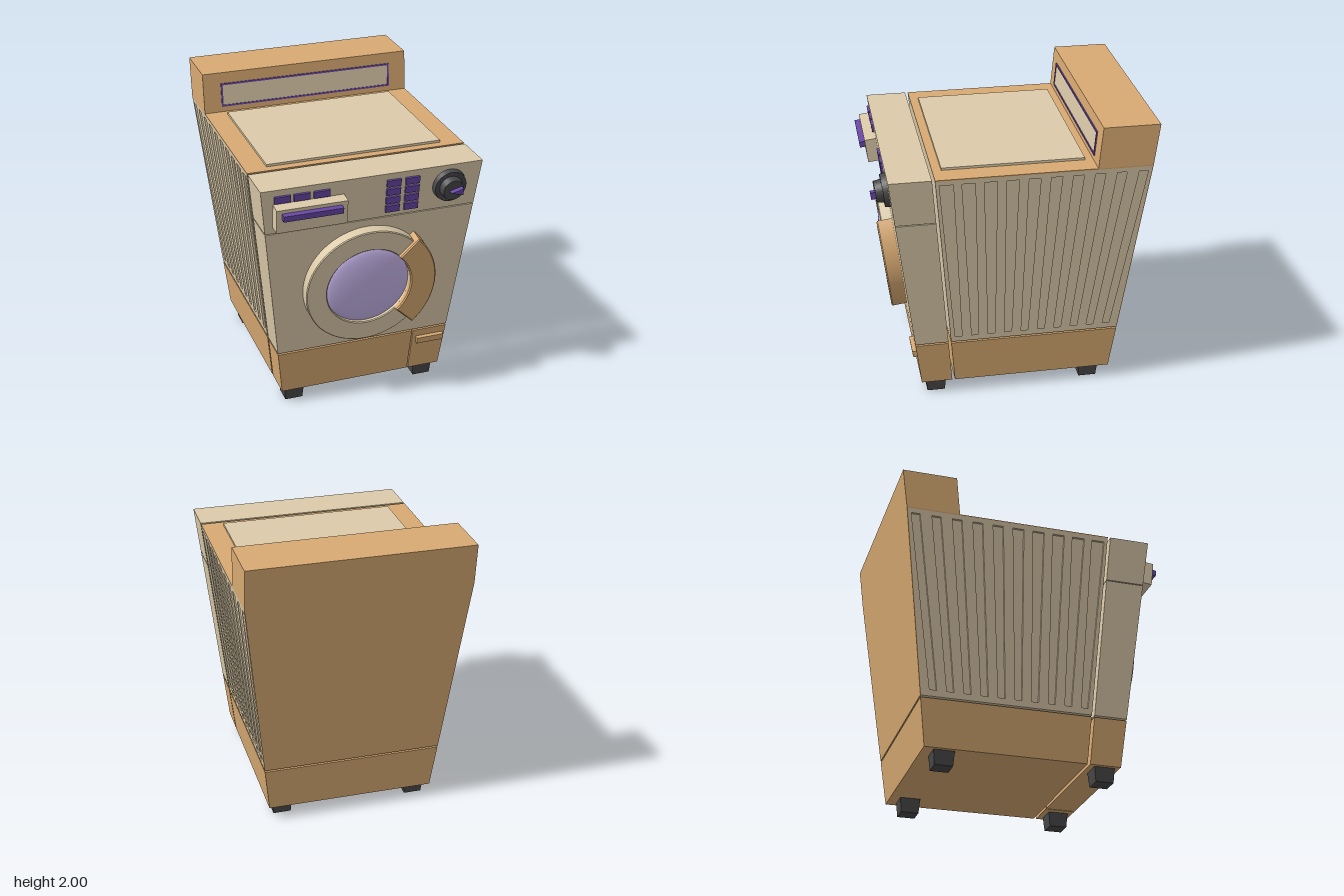
import * as THREE from 'three';

const mat = (color) => new THREE.MeshStandardMaterial({ color });
const WOOD = mat(0xd8aa72), CREAM = mat(0xdccbaa), PURPLE = mat(0x6a48a8), DARK = mat(0x484848), GLASS = mat(0xc6b4ea);

// Sloping outlines of the cabinet, as functions of height
const halfW = (y) => Math.min(0.75, 0.564 + 0.108 * y);
const frontZ = (y) => 0.613 + 0.121 * y;
const frontBackZ = (y) => 0.405 + 0.08 * y;
const bodyZ = (y) => 0.386 + 0.08 * y;
const backZ = (y) => -0.683 - 0.123 * y;
const consoleZ = (y) => -0.53 - 0.09 * (y - 1.72);
const TILT = Math.atan(0.121);

export function createModel() {
  const root = new THREE.Group();

  const add = (name, geo, material, parent = root) => {
    const m = new THREE.Mesh(geo, material);
    m.name = name;
    parent.add(m);
    return m;
  };

  // Block whose sides follow the outlines
  const block = (name, material, y0, y1, zb, zf, xl = (y) => -halfW(y), xr = halfW) => {
    const g = new THREE.BoxGeometry(1, 1, 1), p = g.attributes.position;
    for (let i = 0; i < p.count; i++) {
      const y = p.getY(i) > 0 ? y1 : y0;
      p.setXYZ(i, p.getX(i) > 0 ? xr(y) : xl(y), y, p.getZ(i) > 0 ? zf(y) : zb(y));
    }
    g.computeVertexNormals();
    return add(name, g, material);
  };

  // Places a part on the leaning front, h out from its surface
  const onFront = (obj, x, y, h = 0) => {
    obj.rotation.x = TILT;
    obj.position.set(x, y - Math.sin(TILT) * h, frontZ(y) + Math.cos(TILT) * h);
    return obj;
  };
  const frontBox = (name, material, x0, x1, y0, y1, h0, h1) =>
    onFront(add(name, new THREE.BoxGeometry(x1 - x0, y1 - y0, h1 - h0), material), (x0 + x1) / 2, (y0 + y1) / 2, (h0 + h1) / 2);

  // Base with a split front
  const seam = (y) => 0.342 + 0.05 * (y - 0.1);
  block('baseBody', WOOD, 0.1, 0.42, backZ, bodyZ);
  block('baseFront', WOOD, 0.1, 0.42, frontBackZ, frontZ, undefined, seam);
  block('filterDoor', WOOD, 0.1, 0.42, frontBackZ, frontZ, (y) => seam(y) + 0.008);
  frontBox('filterHandle', WOOD, 0.39, 0.585, 0.322, 0.367, -0.005, 0.028);

  // Front panels
  block('doorPanel', CREAM, 0.432, 1.397, frontBackZ, frontZ);
  block('controlPanel', CREAM, 1.403, 1.72, frontBackZ, frontZ);

  // Body: core, deck, back and slotted sides
  const T = 0.015;
  block('bodyCore', CREAM, 0.432, 1.712, (y) => backZ(y) + 0.006, bodyZ, (y) => T - halfW(y), (y) => halfW(y) - T);
  block('deck', WOOD, 1.712, 1.72, backZ, bodyZ);
  block('backPanel', WOOD, 0.432, 1.712, backZ, (y) => backZ(y) + 0.006);
  for (const s of [-1, 1]) {
    const path = (P, pts) => new P(pts.map(([z, y]) => new THREE.Vector2(-s * z, y)));
    const shape = path(THREE.Shape, [
      [bodyZ(0.432), 0.432], [bodyZ(1.712), 1.712], [backZ(1.712) + 0.006, 1.712], [backZ(0.432) + 0.006, 0.432]]);
    for (let i = 0; i < 10; i++) {
      const k = i / 9, top = 0.452 - 1.285 * k, bot = 0.37 - 1.025 * k;
      const wt = 0.045 - 0.015 * k, wb = 0.024;
      shape.holes.push(path(THREE.Path, [[bot + wb, 0.475], [top + wt, 1.68], [top - wt, 1.68], [bot - wb, 0.475]]));
    }
    const g = new THREE.ExtrudeGeometry(shape, { depth: T, bevelEnabled: false }), p = g.attributes.position;
    for (let i = 0; i < p.count; i++) {
      const u = p.getX(i), y = p.getY(i), w = p.getZ(i);
      p.setXYZ(i, s * (halfW(y) - T + w), y, -s * u);
    }
    g.computeVertexNormals();
    add(s > 0 ? 'leftSlottedPanel' : 'rightSlottedPanel', g, CREAM);
  }

  // Top lid
  add('topLid', new THREE.BoxGeometry(1.205, 0.016, 0.94), CREAM).position.set(0, 1.728, -0.005);

  // Rear console with framed window
  block('rearConsole', WOOD, 1.72, 2, backZ, consoleZ);
  const display = new THREE.Group();
  display.name = 'consoleDisplay';
  display.position.set(0, 1.84, consoleZ(1.84));
  display.rotation.x = -Math.atan(0.09);
  root.add(display);
  add('displayPane', new THREE.BoxGeometry(1.23, 0.15, 0.01), CREAM, display).position.z = -0.002;
  for (const s of [-1, 1]) {
    add('displayFrameBar', new THREE.BoxGeometry(1.25, 0.012, 0.016), PURPLE, display).position.y = s * 0.077;
    add('displayFrameSide', new THREE.BoxGeometry(0.012, 0.166, 0.016), PURPLE, display).position.x = s * 0.619;
  }

  // Round door
  const door = new THREE.Group();
  door.name = 'door';
  root.add(onFront(door, -0.02, 0.92));
  const lathe = (pts) => new THREE.LatheGeometry(pts.map(([r, h]) => new THREE.Vector2(r, h)), 64).rotateX(Math.PI / 2);
  const ring = new THREE.Shape().absarc(0, 0, 0.424, 0, Math.PI * 2);
  ring.holes.push(new THREE.Path().absarc(0, 0, 0.294, 0, Math.PI * 2, true));
  add('doorRing', new THREE.ExtrudeGeometry(ring, {
    depth: 0.07, bevelSize: 0.006, bevelThickness: 0.006, bevelSegments: 1, curveSegments: 40 }), CREAM, door);
  const dome = [];
  for (let i = 0; i <= 10; i++) {
    const a = (1 - i / 10) * Math.PI / 2;
    dome.push([0.29 * Math.sin(a), 0.045 + 0.05 * Math.cos(a)]);
  }
  add('doorGlass', lathe(dome), GLASS, door);
  const grip = new THREE.Shape();
  grip.absarc(0, 0, 0.458, -Math.PI / 4, Math.PI / 4);
  grip.absarc(0, 0, 0.296, Math.PI / 4, -Math.PI / 4, true);
  grip.closePath();
  add('doorHandle', new THREE.ExtrudeGeometry(grip, {
    depth: 0.098, bevelSize: 0.008, bevelThickness: 0.008, bevelSegments: 1, curveSegments: 24 }), WOOD, door);

  // Detergent drawer
  frontBox('detergentDrawer', CREAM, -0.667, -0.197, 1.453, 1.62, -0.01, 0.08);
  frontBox('drawerHandle', PURPLE, -0.632, -0.237, 1.555, 1.595, 0.07, 0.118);

  // Buttons
  for (const x of [-0.608, -0.48, -0.348]) frontBox('programButton', PURPLE, x - 0.053, x + 0.053, 1.627, 1.675, -0.01, 0.015);
  for (const x of [0.137, 0.265])
    for (let r = 0; r < 4; r++) {
      const y = 1.462 + r * 0.063;
      frontBox('optionButton', PURPLE, x - 0.048, x + 0.048, y - 0.024, y + 0.024, -0.01, 0.015);
    }

  // Dial with ticks and pointer
  const dial = new THREE.Group();
  dial.name = 'dial';
  root.add(onFront(dial, 0.525, 1.575));
  const base = add('dialBase', new THREE.CylinderGeometry(0.108, 0.115, 0.04, 40), DARK, dial);
  base.rotation.x = Math.PI / 2;
  base.position.z = 0.015;
  const knob = add('dialKnob', new THREE.CylinderGeometry(0.07, 0.08, 0.055, 32), DARK, dial);
  knob.rotation.x = Math.PI / 2;
  knob.position.z = 0.055;
  for (let i = 0; i < 12; i++) {
    const a = i * Math.PI / 6;
    const tick = add('dialTick', new THREE.BoxGeometry(0.018, 0.005, 0.004), PURPLE, dial);
    tick.position.set(0.096 * Math.cos(a), 0.096 * Math.sin(a), 0.035);
    tick.rotation.z = a;
  }
  const wedge = new THREE.Shape([[-0.03, 0], [0.055, -0.024], [0.055, 0.024]].map(([x, y]) => new THREE.Vector2(x, y)));
  add('dialPointer', new THREE.ExtrudeGeometry(wedge, { depth: 0.035, bevelEnabled: false }), PURPLE, dial).position.z = 0.08;

  // Tapered feet
  for (const x of [-0.478, 0.47])
    for (const z of [0.522, -0.557]) {
      const g = new THREE.CylinderGeometry(0.07 * Math.SQRT2, 0.061 * Math.SQRT2, 0.1, 4).toNonIndexed().rotateY(Math.PI / 4);
      g.computeVertexNormals();
      add('foot', g, DARK).position.set(x, 0.05, z);
    }

  return root;
}
